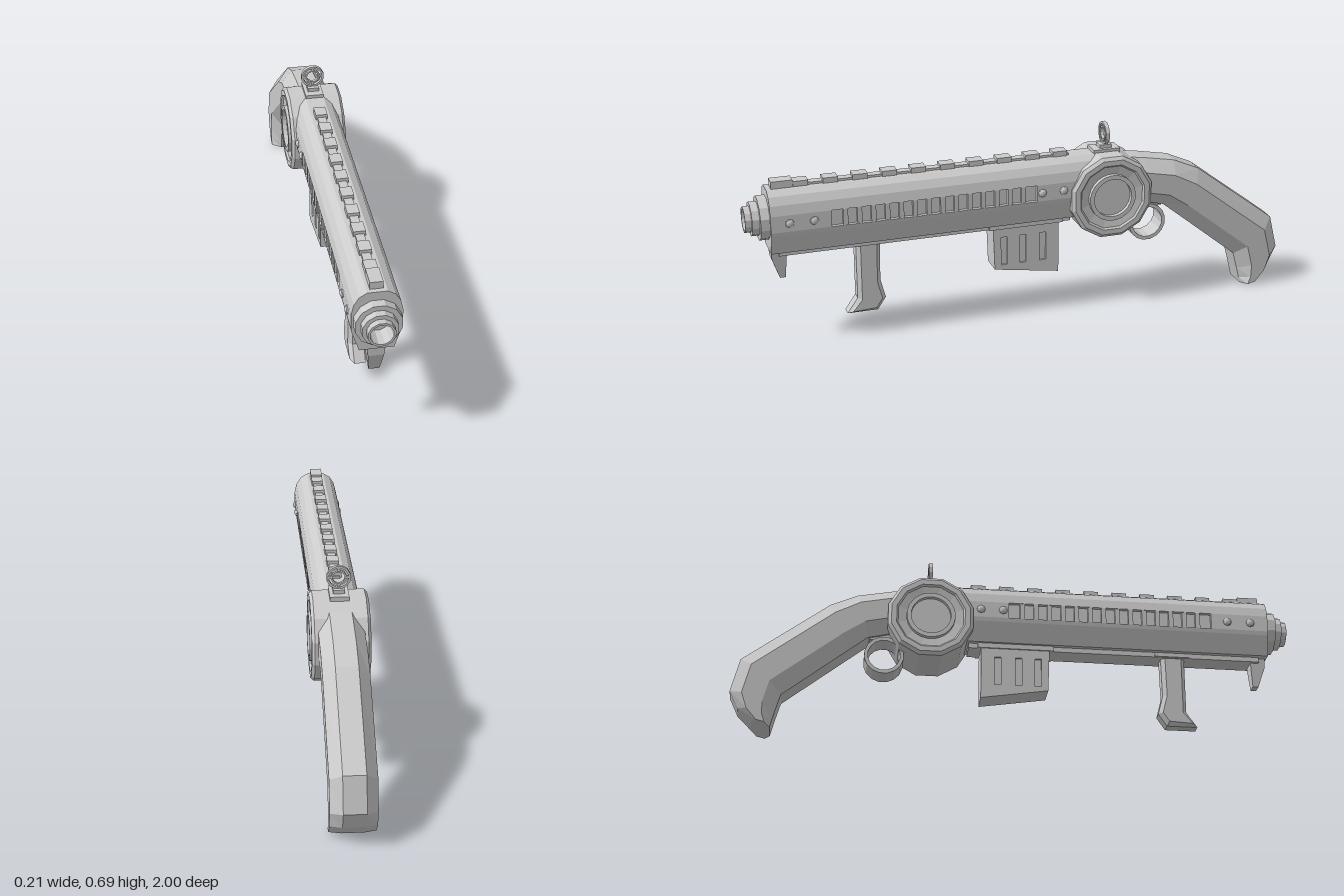
import * as THREE from 'three';

const mat = new THREE.MeshStandardMaterial({ color: 0xcccccc, flatShading: true });
const HALF = Math.PI / 2;

export function createModel() {
  const model = new THREE.Group();

  const add = (name, geo, x = 0, y = 0, z = 0) => {
    const mesh = new THREE.Mesh(geo, mat);
    mesh.name = name;
    mesh.position.set(x, y, z);
    model.add(mesh);
    return mesh;
  };
  const box = (name, w, h, d, x, y, z) => add(name, new THREE.BoxGeometry(w, h, d), x, y, z);
  const shapeOf = pts => new THREE.Shape(pts.map(p => new THREE.Vector2(p[0], p[1])));

  // Side outline in (z, y), extruded across x and centred
  const sideExtrude = (shape, width, bevel = 0) => {
    const depth = width - 2 * bevel;
    return new THREE.ExtrudeGeometry(shape, {
      depth, bevelEnabled: bevel > 0, bevelSize: bevel, bevelOffset: -bevel,
      bevelThickness: bevel, bevelSegments: 1,
    }).translate(0, 0, -depth / 2).rotateY(-HALF);
  };
  // Half cross-section in (x, y), mirrored and extruded from z0 to z1
  const crossExtrude = (half, z0, z1) => {
    const left = half.map(([x, y]) => [-x, y]).reverse();
    return new THREE.ExtrudeGeometry(shapeOf([...half, ...left]), { depth: z1 - z0, bevelEnabled: false })
      .translate(0, 0, z0);
  };
  const lathe = (pts, seg, start = 0) =>
    new THREE.LatheGeometry(pts.map(p => new THREE.Vector2(p[0], p[1])), seg, start);
  const ring = (rOut, rIn, h, seg) =>
    lathe([[rIn, -h], [rOut, -h], [rOut, h], [rIn, h], [rIn, -h]], seg, Math.PI / seg);

  // Receiver body: solid ends and a middle with side channels
  const lower = [[0.057, 0.363], [0.08, 0.435], [0.083, 0.45]];
  const upper = [[0.083, 0.51], [0.075, 0.545], [0.058, 0.572], [0.033, 0.587]];
  const solid = [...lower, ...upper];
  const notched = [...lower, [0.069, 0.45], [0.069, 0.51], ...upper];
  add('bodyFront', crossExtrude(solid, 0.71, 0.92));
  add('bodyMiddle', crossExtrude(notched, -0.03, 0.71));
  add('bodyRear', crossExtrude(solid, -0.28, -0.03));

  // Ribs in the side channels, and side bolts
  for (const s of [-1, 1]) {
    for (let i = 1; i < 15; i++) box('ventRib', 0.014, 0.06, 0.017, s * 0.075, 0.48, -0.03 + i * 0.74 / 15);
    for (const z of [0.855, 0.77, -0.05, -0.13]) {
      const bolt = new THREE.SphereGeometry(0.016, 8, 3, 0, Math.PI * 2, 0, HALF)
        .scale(1, 0.65, 1).rotateZ(-s * HALF);
      add('sideBolt', bolt, s * 0.082, 0.48, z);
    }
  }

  // Top rail with teeth, and front sight block
  box('topRail', 0.03, 0.012, 1.06, 0, 0.589, 0.36);
  for (let i = 0; i < 10; i++) box('railTooth', 0.042, 0.022, 0.053, 0, 0.595, 0.8 - i * 0.104);
  box('frontSightBlock', 0.044, 0.03, 0.075, 0, 0.598, 0.865);

  // Stepped muzzle with bore
  add('muzzle', lathe([
    [0, 0.9], [0.078, 0.9], [0.078, 0.952], [0.06, 0.952], [0.06, 0.978],
    [0.046, 0.978], [0.046, 1], [0.038, 1], [0.036, 0.93], [0, 0.93],
  ], 12, Math.PI / 12).rotateX(HALF), 0, 0.48, 0);

  // Under rail
  box('underRail', 0.08, 0.02, 1.06, 0, 0.355, 0.36);

  // Tapered spur below the muzzle
  const spur = sideExtrude(shapeOf([[0.915, 0.363], [0.86, 0.363], [0.868, 0.255], [0.888, 0.255], [0.914, 0.33]]), 0.06);
  const sp = spur.attributes.position;
  for (let i = 0; i < sp.count; i++) {
    const k = Math.min(1, (0.363 - sp.getY(i)) / 0.108);
    sp.setX(i, sp.getX(i) * (1 - 0.4 * k));
  }
  add('frontSpur', spur);

  // Foregrip with kicked-out foot
  add('foregrip', sideExtrude(shapeOf([
    [0.617, 0.36], [0.53, 0.36], [0.533, 0.2], [0.515, 0.13], [0.545, 0.085], [0.655, 0.085], [0.617, 0.14],
  ]), 0.066, 0.014));
  box('foregripMount', 0.088, 0.015, 0.13, 0, 0.354, 0.57);

  // Magazine: core between slotted side plates
  const magOutline = [[0.122, 0.36], [0.116, 0.19], [-0.125, 0.152], [-0.125, 0.36]];
  add('magazineCore', sideExtrude(shapeOf(magOutline), 0.072));
  const plate = shapeOf(magOutline);
  for (const z of [0.08, 0.01, -0.065]) {
    plate.holes.push(new THREE.Path([[-0.012, 0.205], [0.012, 0.205], [0.012, 0.312], [-0.012, 0.312]]
      .map(([a, b]) => new THREE.Vector2(z + a, b))));
  }
  for (const s of [-1, 1]) add('magazinePlate', sideExtrude(plate, 0.008), s * 0.039);
  box('magazineCollar', 0.096, 0.02, 0.275, 0, 0.355, 0);

  // Drum housing across the body, with a dished face and round rims
  const drumSide = [[0, 0.088], [0.09, 0.088], [0.12, 0.093], [0.126, 0.1], [0.145, 0.1], [0.157, 0.09]];
  const drumProfile = [...drumSide.map(([r, x]) => [r, -x]), ...drumSide.slice().reverse()];
  add('drum', lathe(drumProfile, 12, Math.PI / 12).rotateZ(-HALF), 0, 0.437, -0.31);
  for (const s of [-1, 1]) {
    add('drumRim', ring(0.087, 0.071, 0.012, 24).rotateZ(HALF), s * 0.092, 0.437, -0.31);
  }

  // Rear ring sight on its stepped base
  box('rearSightBase', 0.066, 0.016, 0.1, 0, 0.591, -0.31);
  box('rearSightFoot', 0.04, 0.028, 0.045, 0, 0.598, -0.31);
  add('rearSightOuterRing', ring(0.042, 0.034, 0.007, 12).rotateX(HALF), 0, 0.651, -0.31);
  add('rearSightInnerRing', ring(0.027, 0.021, 0.006, 12).rotateX(HALF), 0, 0.651, -0.31);
  for (let i = 0; i < 4; i++) {
    const a = i * HALF;
    box('rearSightSpoke', 0.012, 0.008, 0.01, Math.cos(a) * 0.03, 0.651 + Math.sin(a) * 0.03, -0.31).rotation.z = a;
  }

  // Finger ring behind the drum
  add('fingerRing', ring(0.071, 0.058, 0.04, 16).rotateZ(HALF), 0, 0.3, -0.47);
  box('fingerRingMount', 0.07, 0.04, 0.1, 0, 0.38, -0.475);

  // Curved stock: octagonal sections, each from a top (z, y) to a bottom (z, y)
  const stations = [
    [-0.36, 0.566, -0.36, 0.385], [-0.45, 0.553, -0.45, 0.383], [-0.57, 0.53, -0.53, 0.364],
    [-0.667, 0.487, -0.595, 0.312], [-0.97, 0.257, -0.823, 0.128],
    [-1, 0.134, -0.84, 0.065], [-0.97, 0.07, -0.85, 0.025], [-0.92, 0.02, -0.855, 0.004],
  ];
  const octagon = [[0.038, 0], [0.078, 0.27], [0.078, 0.72], [0.042, 1], [-0.042, 1], [-0.078, 0.72], [-0.078, 0.27], [-0.038, 0]];
  const verts = [], index = [];
  for (const [tz, ty, bz, by] of stations) {
    for (const [x, t] of octagon) verts.push(x, ty + (by - ty) * t, tz + (bz - tz) * t);
  }
  for (let i = 0; i < stations.length - 1; i++) {
    for (let j = 0; j < 8; j++) {
      const a = i * 8 + j, b = i * 8 + (j + 1) % 8;
      index.push(a, b, a + 8, b, b + 8, a + 8);
    }
  }
  const last = (stations.length - 1) * 8;
  for (let j = 1; j < 7; j++) index.push(0, j + 1, j, last, last + j, last + j + 1);
  const stock = new THREE.BufferGeometry();
  stock.setAttribute('position', new THREE.Float32BufferAttribute(verts, 3));
  stock.setIndex(index);
  stock.computeVertexNormals();
  add('stock', stock);

  return model;
}
